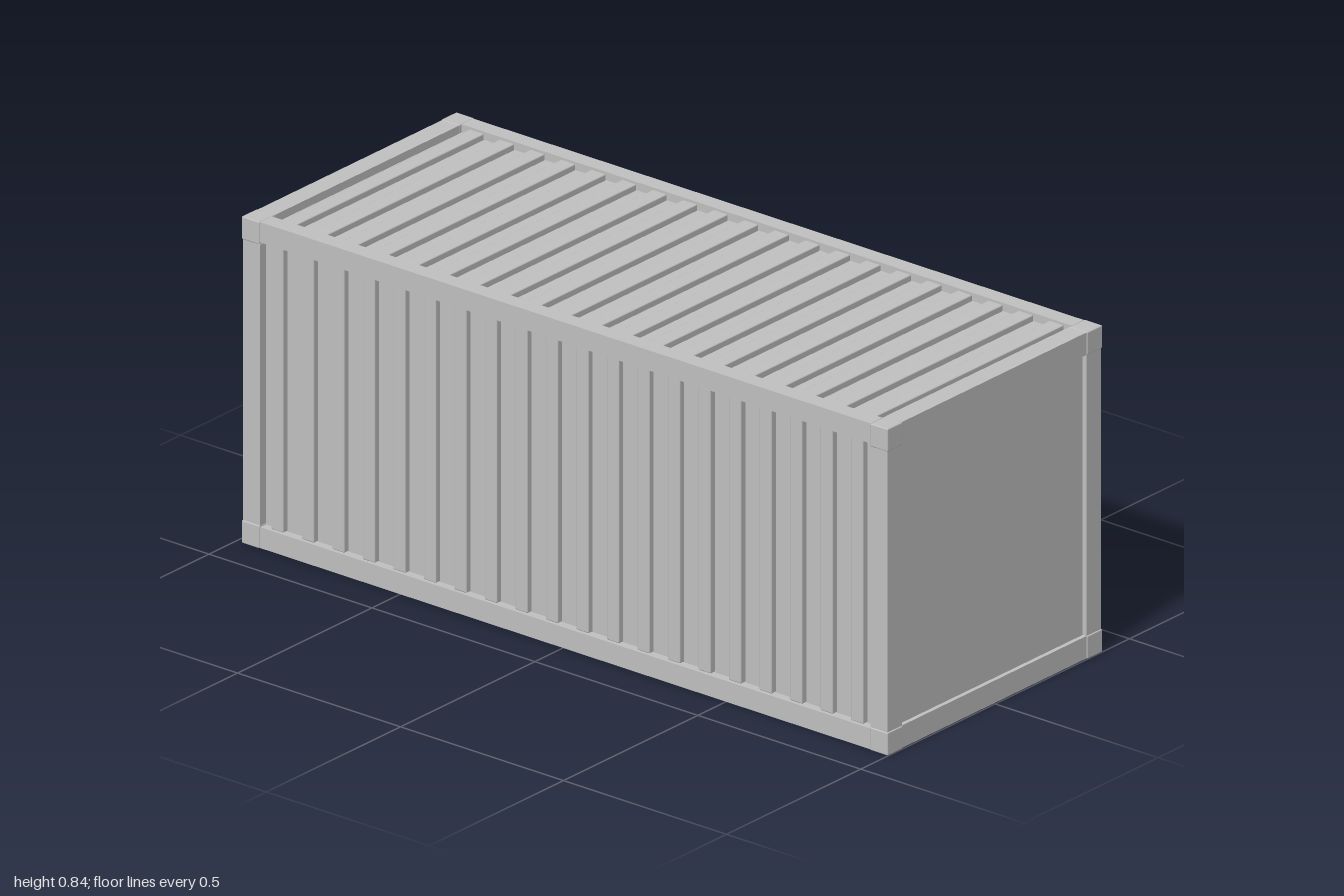
import * as THREE from 'three';
import { RoundedBoxGeometry } from 'three/addons/geometries/RoundedBoxGeometry.js';

const steel = new THREE.MeshStandardMaterial({ color: 0xc0c0c0 });
steel.name = 'grey steel';

const H = 0.844, FRONT = 1, BACK = -0.983;   // outer height and end planes
const HALF = 0.4, RAIL = 0.059, END = 0.055; // half width, rail height, end beam depth
const IN = 0.003;                            // beams sit just inside the corner blocks

// Adds a mesh filling the box between two corners
function block(parent, name, [x0, y0, z0], [x1, y1, z1], bevel = 0) {
  const s = [x1 - x0, y1 - y0, z1 - z0];
  const geo = bevel ? new RoundedBoxGeometry(...s, 1, bevel) : new THREE.BoxGeometry(...s);
  const mesh = new THREE.Mesh(geo, steel);
  mesh.name = name;
  mesh.position.set((x0 + x1) / 2, (y0 + y1) / 2, (z0 + z1) / 2);
  parent.add(mesh);
  return mesh;
}

function part(root, name) {
  const g = new THREE.Group();
  g.name = name;
  root.add(g);
  return g;
}

export function createModel() {
  const root = new THREE.Group();
  root.name = 'shippingContainer';
  const zf = FRONT - END, zb = BACK + END;   // inner faces of the end beams
  const xo = HALF - IN;

  // Frame: corner blocks, posts, cross beams and long rails
  const frame = part(root, 'frame');
  for (const [z0, z1] of [[zf, FRONT], [BACK, zb]]) {
    const a = z0 === BACK ? z0 + IN : z0;
    const b = z1 === FRONT ? z1 - IN : z1;
    for (const s of [-1, 1]) {
      const [x0, x1] = s > 0 ? [0.343, HALF] : [-HALF, -0.343];
      const [p0, p1] = s > 0 ? [0.343, xo] : [-xo, -0.343];
      for (const y of [0, H - RAIL])
        block(frame, 'cornerBlock', [x0, y, z0], [x1, y + RAIL, z1], 0.003);
      block(frame, 'cornerPost', [p0, RAIL, a], [p1, H - RAIL, b]);
    }
    block(frame, 'bottomCrossBeam', [-0.343, 0.001, a], [0.343, RAIL, b]);
    block(frame, 'topCrossBeam', [-0.343, H - RAIL, a], [0.343, H - 0.001, b]);
  }
  for (const s of [-1, 1]) {
    const [x0, x1] = s > 0 ? [0.353, xo] : [-xo, -0.353];
    block(frame, 'bottomSideRail', [x0, 0.001, zb], [x1, 0.055, zf]);
    block(frame, 'topSideRail', [x0, H - 0.053, zb], [x1, H - 0.001, zf]);
  }

  // Closed body set back inside the frame; its faces are the walls, roof and floor
  block(root, 'body', [-0.375, 0.022, BACK + 0.028], [0.375, H - 0.022, FRONT - 0.014]);

  // Raised ribs centred in twenty equal cells along the sides and roof
  const ribs = part(root, 'corrugation');
  const count = 20, pitch = (zf - zb) / count;
  for (let i = 0; i < count; i++) {
    const z = zb + (i + 0.5) * pitch;
    for (const s of [-1, 1]) {
      const [x0, x1] = s > 0 ? [0.365, 0.391] : [-0.391, -0.365];
      block(ribs, 'sideRib', [x0, 0.056, z - 0.019], [x1, H - 0.054, z + 0.019], 0.003);
    }
    block(ribs, 'roofRib', [-0.353, H - 0.032, z - 0.022], [0.353, H - 0.006, z + 0.022], 0.003);
  }

  // Two rear doors with a narrow gap between them
  const doors = part(root, 'rearDoors');
  for (const [x0, x1] of [[-0.343, -0.007], [0.007, 0.343]])
    block(doors, 'door', [x0, RAIL, BACK + 0.012], [x1, H - RAIL, BACK + 0.04]);

  // Locking rods, each with a short handle reaching to the model's left
  for (const x of [-0.255, -0.085, 0.085, 0.255]) {
    const rod = new THREE.Mesh(new THREE.CylinderGeometry(0.008, 0.008, 0.765, 12), steel);
    rod.name = 'lockingRod';
    rod.position.set(x, 0.4225, -0.985);
    doors.add(rod);
    block(doors, 'lockHandle', [x - 0.008, 0.334, -1], [x + 0.055, 0.35, -0.988], 0.003);
  }
  return root;
}
